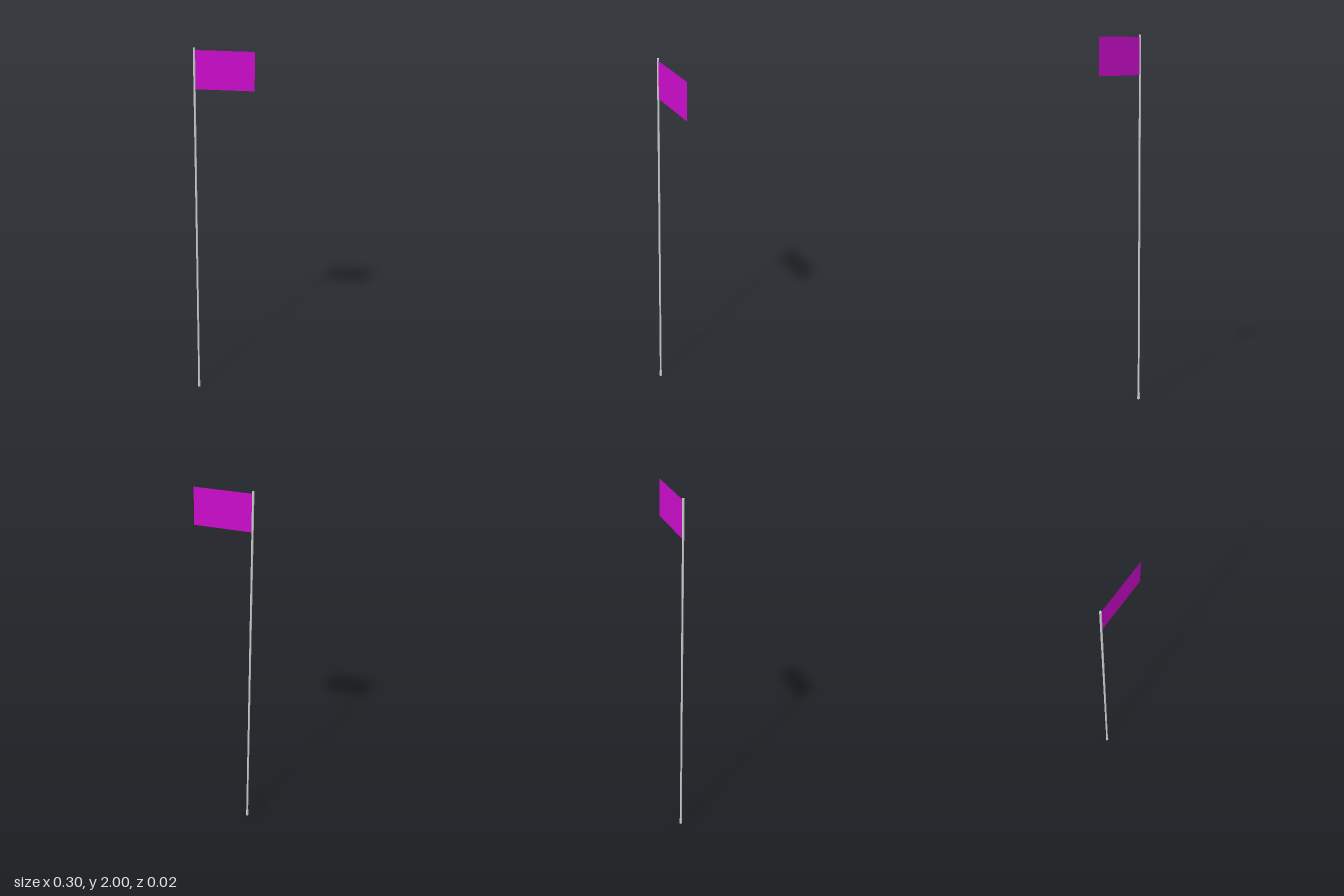
import * as THREE from 'three';

const POLE_X = -0.143;

export function createModel() {
  const group = new THREE.Group();
  const grey = new THREE.MeshStandardMaterial({ color: 0xcccccc });
  const magenta = new THREE.MeshStandardMaterial({ color: 0xcc0ccc, side: THREE.DoubleSide });

  const add = (name, geometry, material, x, y) => {
    const mesh = new THREE.Mesh(geometry, material);
    mesh.name = name;
    mesh.position.set(x, y, 0);
    group.add(mesh);
  };

  // Slender pole, full height
  add('pole', new THREE.CylinderGeometry(0.0055, 0.0055, 2, 24), grey, POLE_X, 1);

  // Slightly tapered ground socket
  add('baseSocket', new THREE.CylinderGeometry(0.0068, 0.008, 0.035, 24), grey, POLE_X, 0.0175);

  // Flat flag flying towards +x
  const flagEnd = 0.151;
  add('flag', new THREE.PlaneGeometry(flagEnd - POLE_X, 0.195), magenta, (flagEnd + POLE_X) / 2, 1.8915);

  return group;
}
